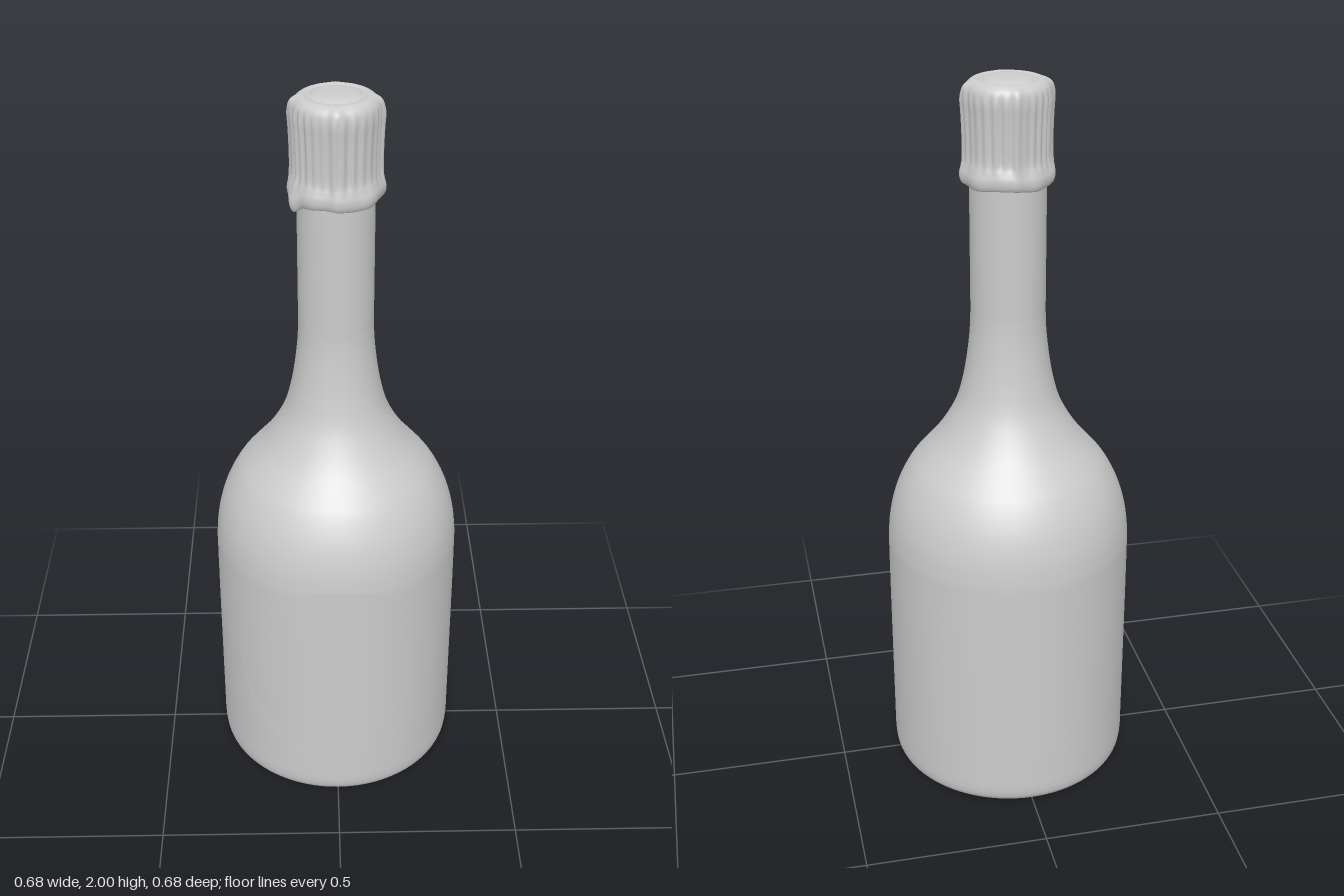
import * as THREE from 'three';
import { mergeVertices } from 'three/addons/utils/BufferGeometryUtils.js';

const material = new THREE.MeshStandardMaterial({ color: 0xcccccc });
const thinMaterial = new THREE.MeshStandardMaterial({ color: 0xcccccc, side: THREE.DoubleSide });

function part(name, geometry, mat = material) {
  const mesh = new THREE.Mesh(geometry, mat);
  mesh.name = name;
  return mesh;
}

// Smooth run of points through a few [radius, height] pairs
function smooth(pairs, n) {
  const curve = new THREE.CatmullRomCurve3(
    pairs.map(([r, y]) => new THREE.Vector3(r, y, 0)), false, 'centripetal');
  return curve.getPoints(n).map(p => new THREE.Vector2(Math.max(p.x, 0), p.y));
}

// Move every vertex by a rule, then weld and smooth the result
function reshape(geometry, rule) {
  const pos = geometry.attributes.position;
  const v = new THREE.Vector3();
  for (let i = 0; i < pos.count; i++) {
    rule(v.fromBufferAttribute(pos, i));
    pos.setXYZ(i, v.x, v.y, v.z);
  }
  geometry.deleteAttribute('uv');
  geometry.deleteAttribute('normal');
  const welded = mergeVertices(geometry, 1e-5);
  welded.computeVertexNormals();
  return welded;
}

// Oval label wrapped around the front of a cylinder
function label(radius, y, halfAngle, halfHeight) {
  return reshape(new THREE.RingGeometry(0, 1, 64, 10), v => {
    const a = v.x * halfAngle;
    v.set(Math.sin(a) * radius, y + v.y * halfHeight, Math.cos(a) * radius);
  });
}

// Glass: hollow base, rounded foot, straight body, sloping shoulder, neck
function bottleGeometry() {
  const punt = smooth([[0, 0.13], [0.1, 0.118], [0.2, 0.08], [0.27, 0.035], [0.305, 0.003]], 20);
  const foot = smooth([[0.312, 0], [0.325, 0.005], [0.334, 0.018], [0.338, 0.04]], 8);
  const side = smooth([[0.339, 0.06], [0.339, 0.66], [0.338, 0.72], [0.329, 0.79], [0.308, 0.86],
    [0.274, 0.925], [0.238, 0.97], [0.2, 1.015], [0.167, 1.065], [0.14, 1.12], [0.121, 1.19],
    [0.108, 1.27], [0.102, 1.33], [0.1, 1.38]], 70);
  return new THREE.LatheGeometry([...punt, ...foot, ...side, new THREE.Vector2(0.1, 1.78)], 96);
}

// Foil: pleated sides, four wire ridges, crimped uneven hem, dished top
function foilGeometry() {
  const profile = smooth([[0.098, 1.738], [0.113, 1.73], [0.119, 1.74], [0.12, 1.758], [0.115, 1.775],
    [0.109, 1.795], [0.108, 1.85], [0.11, 1.91], [0.112, 1.95], [0.107, 1.975], [0.095, 1.988],
    [0.082, 1.993], [0.07, 1.99], [0.06, 1.994], [0.045, 1.998], [0, 2]], 64);
  const bump = THREE.MathUtils.smoothstep;
  return reshape(new THREE.LatheGeometry(profile, 192), v => {
    const r = Math.hypot(v.x, v.z);
    if (r < 1e-4) return;
    const a = Math.atan2(v.z, v.x);
    const pleatZone = bump(v.y, 1.765, 1.81) * (1 - bump(v.y, 1.94, 1.985));
    const hem = 1 - bump(v.y, 1.76, 1.8);
    const outer = bump(r, 0.07, 0.105);
    const pleats = Math.sin(28 * a + 0.9 * Math.sin(3 * a)) * (0.7 + 0.3 * Math.sin(5 * a + 1));
    const ridge = Math.pow(Math.abs(Math.cos(2 * a)), 14) * (Math.cos(4 * a) > 0 ? 1 : 0)
      * Math.pow(Math.max(Math.abs(Math.cos(a)), Math.abs(Math.sin(a))), 60);
    // Folded lump of the hem on the model's right front
    const lump = Math.exp(-Math.pow((a - 2.67) / 0.17, 2)) * hem;
    const d = outer * (0.0032 * pleats * pleatZone + 0.009 * ridge * (1 - 0.5 * hem)
      + 0.0018 * hem * Math.sin(9 * a + 1) + 0.008 * lump);
    v.x *= 1 + d / r;
    v.z *= 1 + d / r;
    v.y += outer * hem * (0.003 * Math.sin(4 * a + 0.6) - 0.018 * lump);
  });
}

export function createModel() {
  const model = new THREE.Group();
  model.name = 'bottle';

  const seam = part('neckLabelSeam', new THREE.TorusGeometry(0.1005, 0.001, 6, 48, 2.2));
  seam.rotation.set(Math.PI / 2, 0, Math.PI / 2 - 1.1);
  seam.position.y = 1.45;

  model.add(
    part('glassBody', bottleGeometry(), thinMaterial),
    part('foilCap', foilGeometry(), thinMaterial),
    part('bodyLabel', label(0.3405, 0.43, 0.94, 0.3), thinMaterial),
    part('neckLabel', label(0.1015, 1.47, 1.16, 0.11), thinMaterial),
    seam,
  );
  return model;
}
